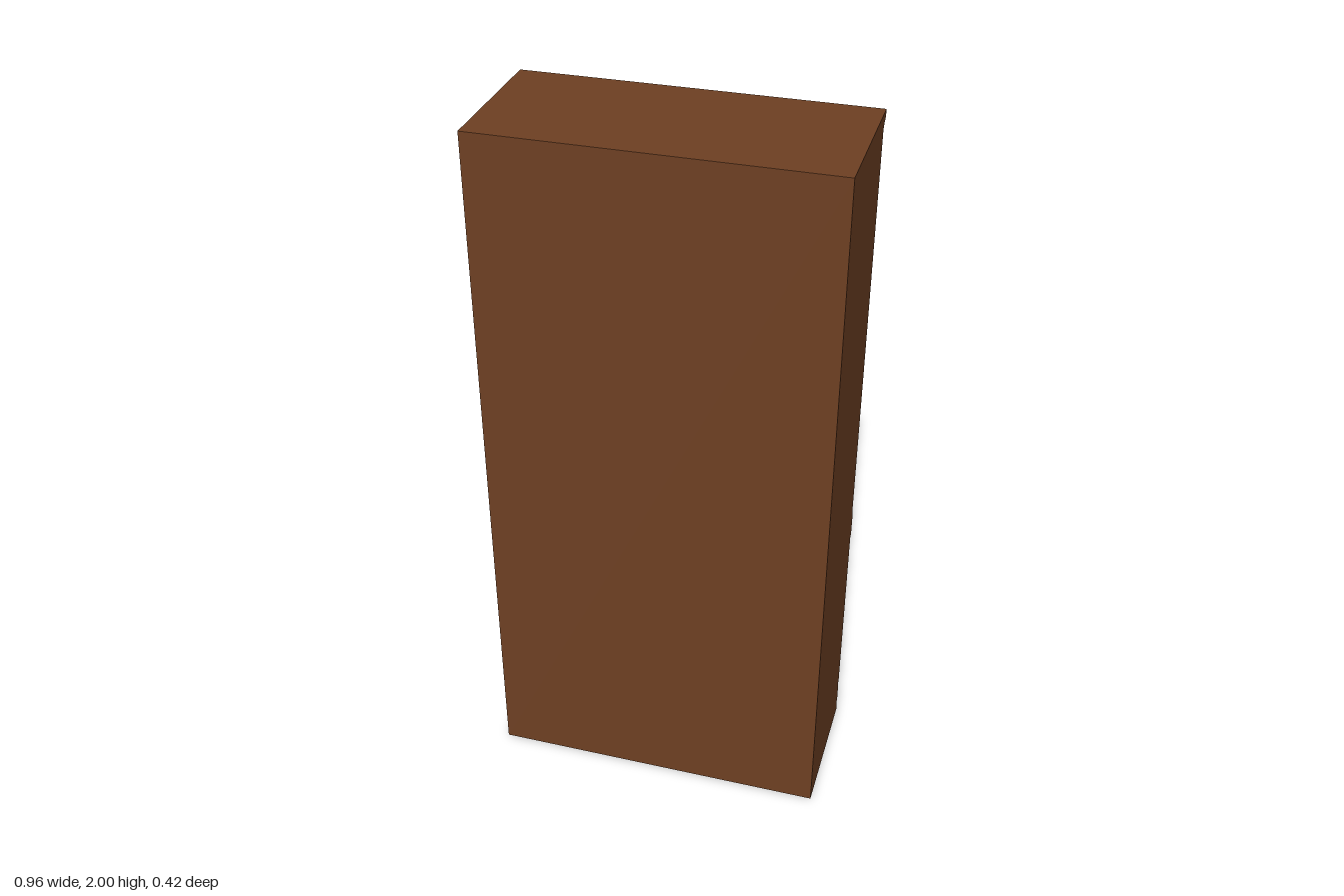
import * as THREE from 'three';

const W = 0.48;              // half width
const FRONT = -0.185;        // open face plane
const BACK = 0.21;
const PANEL = 0.02;          // board thickness

export function createModel() {
  const model = new THREE.Group();
  model.name = 'bookcase';
  const wood = new THREE.MeshStandardMaterial({ color: 0x6e4023 });
  wood.name = 'brown wood';

  const add = (name, geometry) => {
    const mesh = new THREE.Mesh(geometry, wood);
    mesh.name = name;
    model.add(mesh);
  };

  // Board given by its limits on each axis
  const board = (name, x0, x1, y0, y1, z0, z1) => {
    const g = new THREE.BoxGeometry(x1 - x0, y1 - y0, z1 - z0);
    g.translate((x0 + x1) / 2, (y0 + y1) / 2, (z0 + z1) / 2);
    add(name, g);
  };

  // Moulding with a (z, y) profile, running along x
  const moulding = (name, points, x0, x1) => {
    const shape = new THREE.Shape(points.map(([z, y]) => new THREE.Vector2(z, y)));
    const g = new THREE.ExtrudeGeometry(shape, { depth: x1 - x0, bevelEnabled: false });
    g.rotateY(-Math.PI / 2);
    g.translate(x1, 0, 0);
    add(name, g);
  };

  const inner = FRONT + PANEL;   // rear of the face frame

  // Carcass
  board('backPanel', -W, W, 0, 2, BACK - PANEL, BACK);
  board('leftSide', W - PANEL, W, 0, 2, inner, BACK - PANEL);
  board('rightSide', -W, -W + PANEL, 0, 2, inner, BACK - PANEL);
  board('topPanel', -W + PANEL, W - PANEL, 1.965, 2, inner, BACK - PANEL);
  board('bottomPanel', -W + PANEL, W - PANEL, 0, 0.148, inner, BACK - PANEL);

  // Five evenly spaced shelves
  for (let i = 0; i < 5; i++) {
    const top = 0.452 + i * 0.302;
    board('shelf', -W + PANEL, W - PANEL, top - 0.035, top, inner, BACK - PANEL);
  }

  // Face frame with rounded upper corners
  const open = 0.415, sill = 0.148, head = 1.93, r = 0.13;
  const frame = new THREE.Shape([
    new THREE.Vector2(-W, 0.12), new THREE.Vector2(W, 0.12),
    new THREE.Vector2(W, 1.965), new THREE.Vector2(-W, 1.965),
  ]);
  const hole = new THREE.Path();
  hole.moveTo(-open, sill);
  hole.lineTo(open, sill);
  hole.lineTo(open, head - r);
  hole.absarc(open - r, head - r, r, 0, Math.PI / 2, false);
  hole.lineTo(-open + r, head);
  hole.absarc(-open + r, head - r, r, Math.PI / 2, Math.PI, false);
  hole.closePath();
  frame.holes.push(hole);
  const frameGeometry = new THREE.ExtrudeGeometry(frame, { depth: PANEL, bevelEnabled: false, curveSegments: 10 });
  frameGeometry.translate(0, 0, FRONT);
  add('faceFrame', frameGeometry);

  // Cornice
  moulding('cornice', [
    [inner, 1.96], [FRONT - 0.003, 1.96], [-0.192, 1.968], [-0.203, 1.976],
    [-0.21, 1.98], [-0.21, 2], [inner, 2],
  ], -W, W);

  // Base with two grooves
  moulding('base', [
    [inner, 0], [FRONT, 0], [FRONT, 0.026], [FRONT + 0.007, 0.034], [FRONT + 0.007, 0.038],
    [FRONT, 0.044], [FRONT, 0.105], [FRONT + 0.007, 0.112], [FRONT + 0.007, 0.12], [inner, 0.12],
  ], -W, W);

  // Chamfered blocks on the stiles
  for (const side of [-1, 1]) {
    const a = side * W, b = side * 0.412;
    moulding('stileBlock', [
      [FRONT + 0.002, 0.69], [FRONT - 0.004, 0.69], [FRONT - 0.01, 0.702],
      [FRONT - 0.01, 0.768], [FRONT - 0.004, 0.78], [FRONT + 0.002, 0.78],
    ], Math.min(a, b), Math.max(a, b));
  }

  return model;
}
